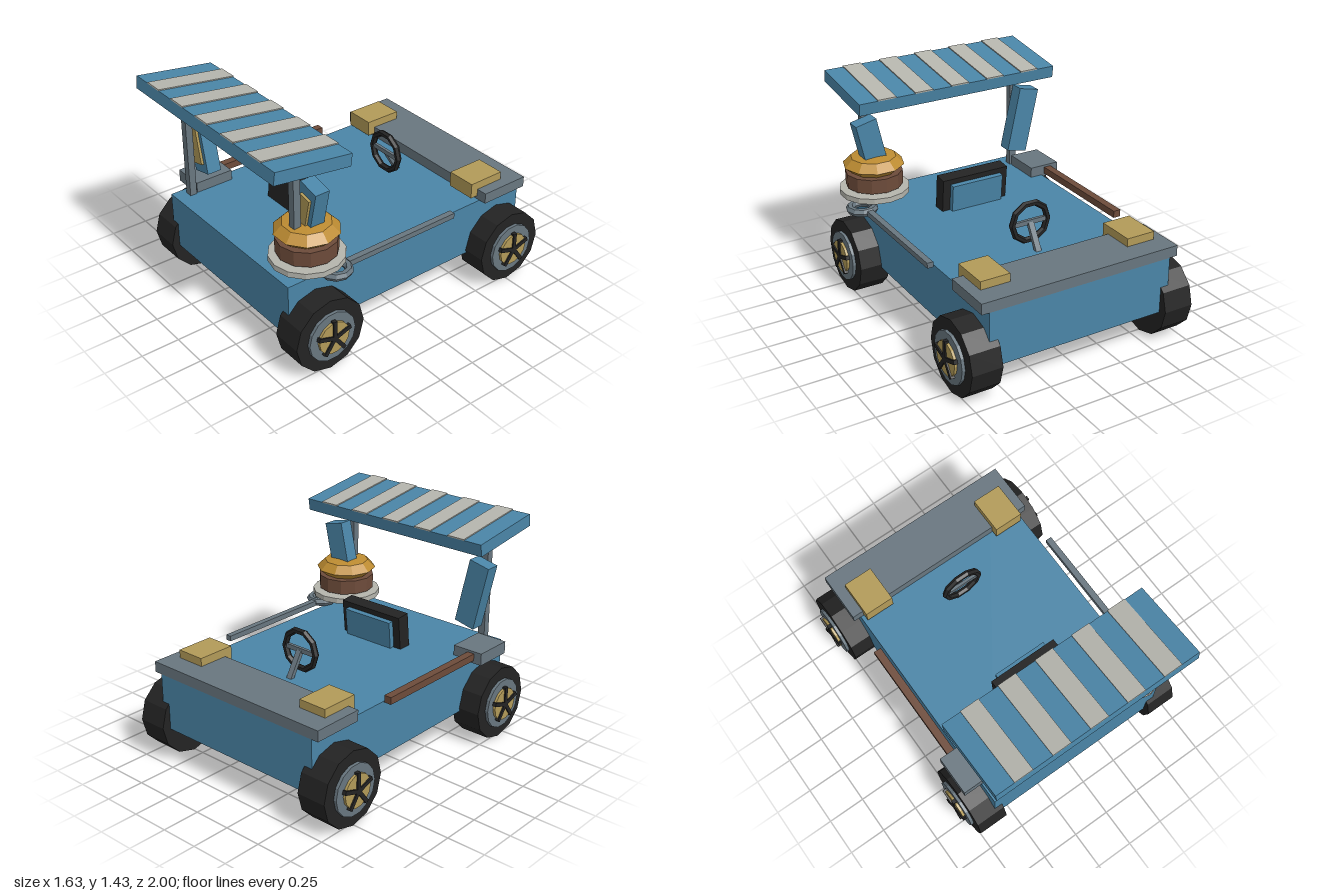
import * as THREE from 'three';

const mat = (name, color) => {
  const m = new THREE.MeshStandardMaterial({ color });
  m.name = name;
  return m;
};

export function createModel() {
  const blue = mat('blue paint', 0x4a85a7);
  const grey = mat('grey metal', 0x68767f);
  const gold = mat('pale gold', 0xb29a58);
  const amber = mat('amber', 0xbd8c32);
  const brown = mat('brown', 0x6d4b3a);
  const black = mat('black rubber', 0x232323);
  const white = mat('off white', 0xb5b5ad);

  const model = new THREE.Group();
  model.name = 'buggy';

  // Adds a faceted mesh to a parent
  const add = (parent, name, geo, material, x = 0, y = 0, z = 0) => {
    const flat = geo.index ? geo.toNonIndexed() : geo;
    flat.computeVertexNormals();
    const mesh = new THREE.Mesh(flat, material);
    mesh.name = name;
    mesh.position.set(x, y, z);
    parent.add(mesh);
    return mesh;
  };
  const box = (parent, name, material, size, pos) =>
    add(parent, name, new THREE.BoxGeometry(...size), material, ...pos);
  const group = (name, x, y, z) => {
    const g = new THREE.Group();
    g.name = name;
    g.position.set(x, y, z);
    model.add(g);
    return g;
  };

  // Body and end deck
  box(model, 'body', blue, [1.25, 0.36, 1.81], [0, 0.4, -0.035]);
  box(model, 'deck', grey, [1.35, 0.07, 0.335], [0, 0.615, -0.775]);
  for (const s of [-1, 1])
    box(model, 'deckBlock', gold, [0.195, 0.1, 0.25], [s * 0.505, 0.653, -0.68]);

  // Wheels: tyre, hub ring, hub disc and five spokes
  const axial = (r, width, sides) =>
    new THREE.CylinderGeometry(r, r, width, sides).rotateZ(Math.PI / 2);
  for (const s of [-1, 1]) {
    for (const z of [0.68, -0.757]) {
      const wheel = group('wheel', s * 0.67, 0.243, z);
      if (s < 0) wheel.rotation.y = Math.PI;
      add(wheel, 'tyre', axial(0.243, 0.2, 12), black);
      add(wheel, 'hubRing', axial(0.165, 0.04, 14), grey, 0.1);
      add(wheel, 'hubDisc', axial(0.108, 0.04, 14), gold, 0.117);
      for (let i = 0; i < 5; i++) {
        const spoke = box(wheel, 'spoke', black, [0.025, 0.12, 0.026], [0.1335, 0, 0]);
        const a = (i * Math.PI * 2) / 5;
        spoke.rotation.x = a;
        spoke.position.y = Math.cos(a) * 0.06;
        spoke.position.z = Math.sin(a) * 0.06;
      }
    }
  }

  // Seat back with cushion
  const seat = group('seat', 0, 0.69, 0.345);
  seat.rotation.x = -0.1;
  box(seat, 'seatBack', black, [0.47, 0.23, 0.09], [0, 0, 0]);
  box(seat, 'seatCushion', blue, [0.365, 0.18, 0.04], [0, -0.01, -0.06]);

  // Steering wheel and column
  add(model, 'steeringWheel', new THREE.TorusGeometry(0.125, 0.021, 6, 10), black, 0, 0.735, -0.363);
  box(model, 'steeringBar', grey, [0.22, 0.03, 0.02], [0, 0.735, -0.363]);
  const column = box(model, 'steeringColumn', grey, [0.038, 0.2, 0.026], [0, 0.645, -0.418]);
  column.rotation.x = 0.53;

  // Roof with stripes
  const roof = group('roof', 0, 1.345, 0.737);
  roof.rotation.x = -0.135;
  box(roof, 'roofPanel', blue, [1.41, 0.08, 0.52], [0, 0, 0]);
  for (let i = -2; i <= 2; i++)
    box(roof, 'roofStripe', white, [0.125, 0.009, 0.522], [i * 0.258, 0.0425, 0]);

  // Roof posts and leaning side panels
  for (const s of [-1, 1]) {
    box(model, 'roofPost', grey, [0.048, 0.75, 0.046], [s * 0.556, 0.945, 0.762]);
    const panel = group('sidePanel', s * 0.557, 0.95, 0.657);
    panel.rotation.z = -s * 0.22;
    box(panel, 'panelBoard', blue, [0.145, 0.44, 0.095], [0, 0, 0]);
    box(panel, 'panelFace', gold, [0.085, 0.315, 0.02], [0, 0, 0.054]);
  }

  // Stacked round pieces on the left post
  const stack = group('stack', 0.54, 0, 0.67);
  add(stack, 'stackPlate', new THREE.CylinderGeometry(0.228, 0.228, 0.036, 14), white, 0, 0.683, 0);
  add(stack, 'stackDrum', new THREE.CylinderGeometry(0.186, 0.186, 0.095, 12), brown, 0, 0.765, 0);
  const capProfile = [[0, 0.815], [0.148, 0.815], [0.2, 0.858], [0.148, 0.91], [0, 0.928]]
    .map(([r, y]) => new THREE.Vector2(r, y));
  add(stack, 'stackCap', new THREE.LatheGeometry(capProfile, 10).rotateY(Math.PI / 10 * 5), amber);

  // Ring-ended rod on the left side
  box(model, 'ringRod', grey, [0.04, 0.035, 0.81], [0.668, 0.608, 0.07]);
  add(model, 'rodRing', new THREE.TorusGeometry(0.078, 0.027, 6, 10).rotateX(Math.PI / 2), grey, 0.68, 0.61, 0.572);

  // Mallet lying along the right side
  box(model, 'malletHandle', brown, [0.05, 0.046, 0.83], [-0.67, 0.61, 0.073]);
  box(model, 'malletHead', grey, [0.21, 0.08, 0.26], [-0.645, 0.608, 0.6]);

  return model;
}
